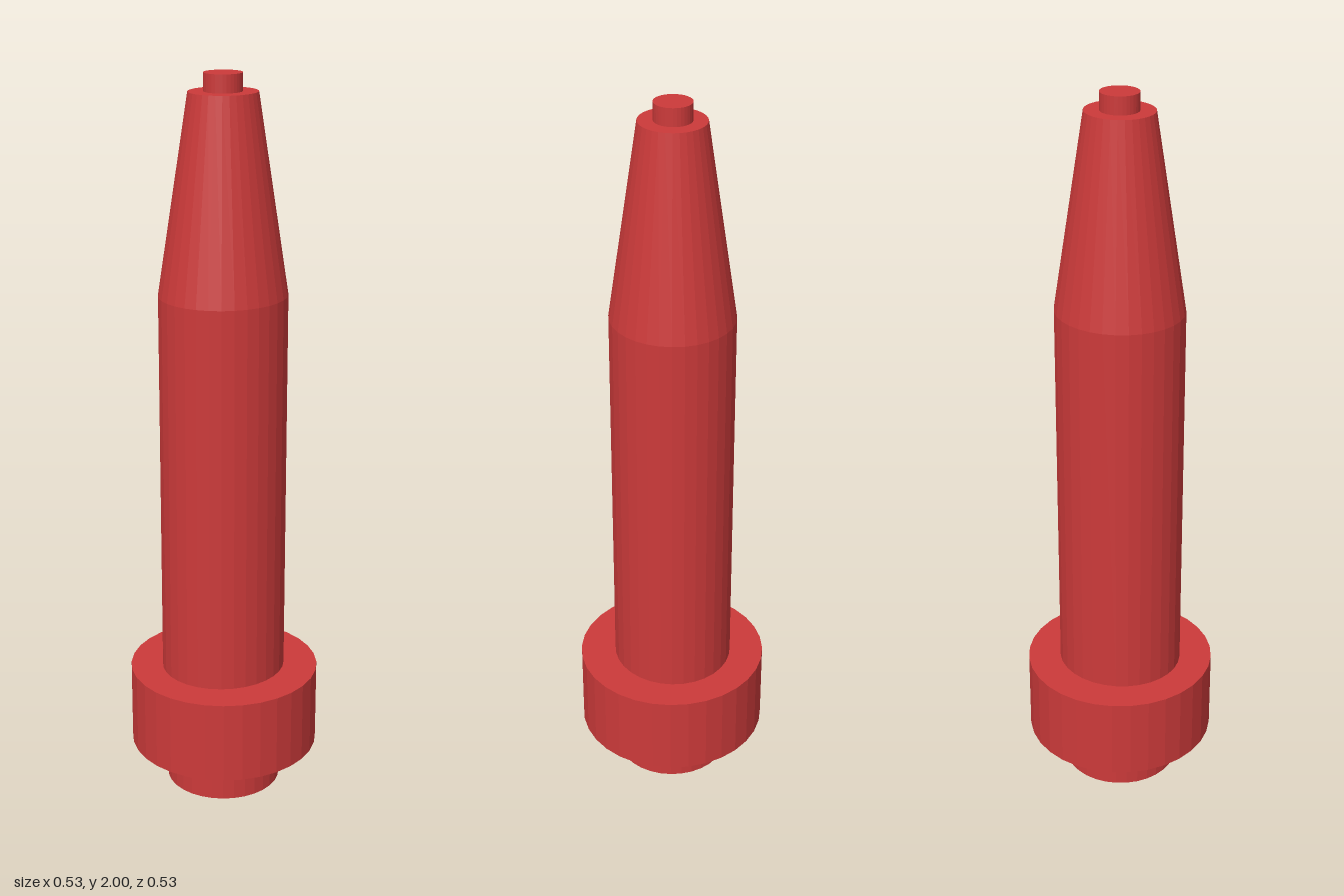
import * as THREE from 'three';

export function createModel() {
  const model = new THREE.Group();
  const material = new THREE.MeshStandardMaterial({ color: 0xcc3a3a, flatShading: true });

  // Stacked 32-sided section; the z scale makes it slightly oval
  function section(name, y0, y1, rBottom, rTop, zScale = 1, x = 0, z = 0) {
    const geometry = new THREE.CylinderGeometry(rTop, rBottom, y1 - y0, 32);
    geometry.scale(1, 1, zScale);
    const mesh = new THREE.Mesh(geometry, material);
    mesh.name = name;
    mesh.position.set(x, (y0 + y1) / 2, z);
    model.add(mesh);
  }

  section('basePlug', 0, 0.12, 0.16, 0.16, 1, -0.002);
  section('collar', 0.12, 0.35, 0.263, 0.263);

  // Shaft and its tapered nose share one profile
  const profile = [[0, 0.35], [0.174, 0.35], [0.174, 1.425], [0.092, 1.953], [0, 1.953]];
  const shaftGeometry = new THREE.LatheGeometry(profile.map(([r, y]) => new THREE.Vector2(r, y)), 32);
  shaftGeometry.scale(1, 1, 0.955);
  const shaft = new THREE.Mesh(shaftGeometry, material);
  shaft.name = 'taperedShaft';
  shaft.position.set(-0.001, 0, -0.002);
  model.add(shaft);

  section('tip', 1.953, 2, 0.051, 0.051, 0.97, -0.001, -0.003);
  return model;
}
